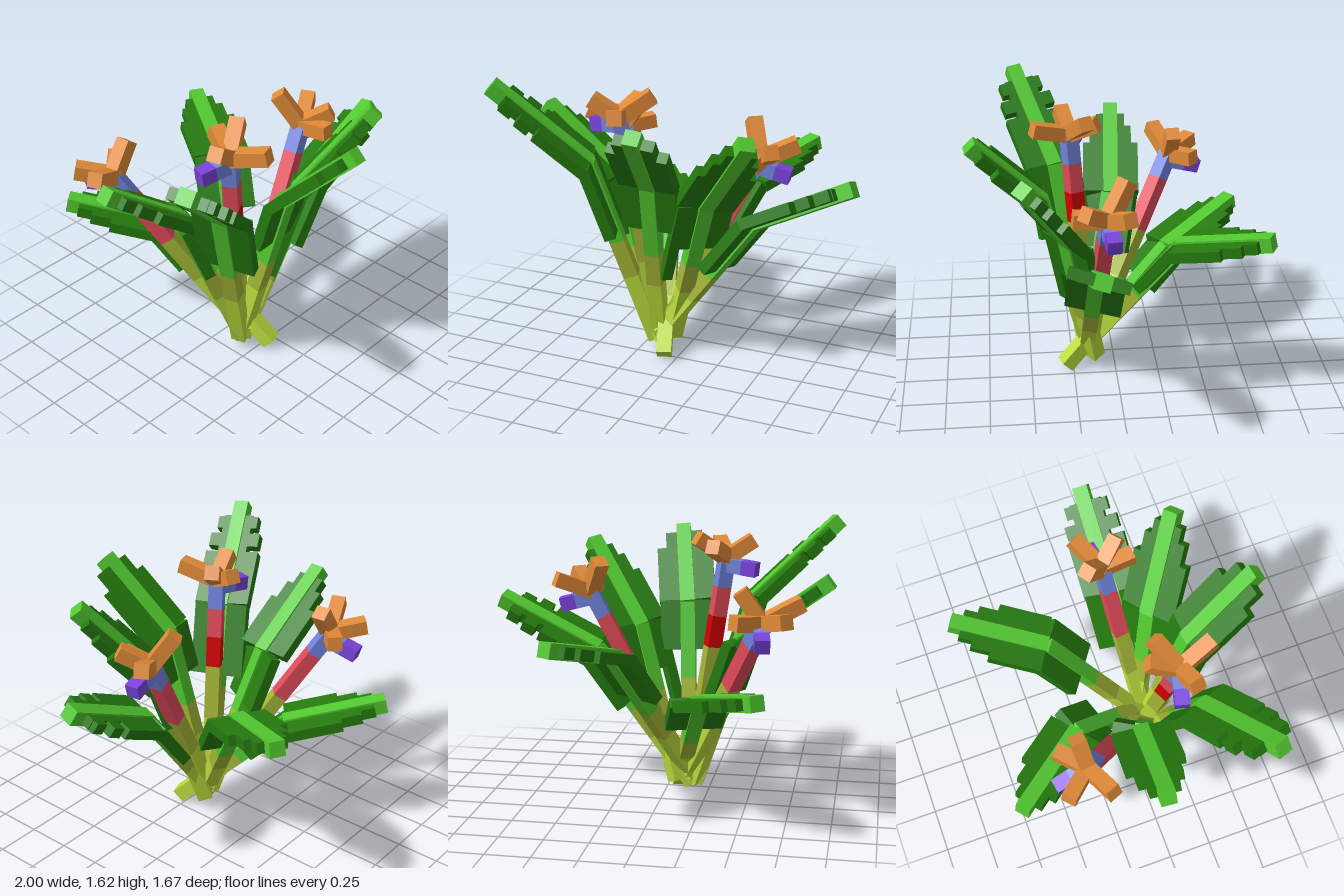
import * as THREE from 'three';

const mat = (name, color) => {
  const m = new THREE.MeshStandardMaterial({ color });
  m.name = name;
  return m;
};

export function createModel() {
  const M = {
    lime: mat('lime stem', 0xb8da3c),
    olive: mat('olive stem', 0xa3b436),
    rib: mat('bright leaf green', 0x52c830),
    blade: mat('dark leaf green', 0x257a0e),
    crimson: mat('crimson stem', 0xe04a58),
    red: mat('deep red', 0xd00000),
    blue: mat('flower blue', 0x7082dc),
    purple: mat('flower purple', 0x7a42da),
    orange: mat('petal orange', 0xe08a38),
  };
  const plant = new THREE.Group();
  plant.name = 'plant';
  const V = (p) => new THREE.Vector3(...p);

  // A limb is a group at point a whose local z axis runs towards point b
  function limb(parent, name, a, b, roll = 0) {
    const g = new THREE.Group();
    const d = V(b).sub(V(a));
    const length = d.length();
    d.normalize();
    const side = new THREE.Vector3(0, 1, 0).cross(d).normalize();
    const normal = d.clone().cross(side);
    g.quaternion.setFromRotationMatrix(new THREE.Matrix4().makeBasis(side, normal, d));
    g.rotateZ(roll);
    g.position.copy(V(a));
    g.name = name;
    parent.add(g);
    return { g, length };
  }

  // Box spanning x0..x1 and z0..z1 in a limb
  function slab(g, name, material, x0, x1, h, z0, z1) {
    const mesh = new THREE.Mesh(new THREE.BoxGeometry(x1 - x0, h, z1 - z0), material);
    mesh.position.set((x0 + x1) / 2, 0, (z0 + z1) / 2);
    mesh.name = name;
    g.add(mesh);
  }

  // Limb in coloured sections; cuts are [material, end fraction]
  function sections({ g, length }, name, w, cuts) {
    let from = 0;
    for (const [m, to] of cuts) {
      slab(g, name, m, -w / 2, w / 2, w, from * length, to * length);
      from = to;
    }
  }

  // Mirrored blade plates either side of the midrib
  function plates(g, half, z0, z1) {
    for (const s of [-1, 1]) {
      const a = s * 0.035, b = s * half;
      slab(g, 'bladePlate', M.blade, Math.min(a, b), Math.max(a, b), 0.062, z0, z1);
    }
  }

  // Blade outlines above the bend: [half width, start, end] as length fractions
  const stepped = [[0.165, 0, 0.54], [0.125, 0.54, 0.74], [0.085, 0.74, 0.88]];
  const broad = [[0.165, 0, 0.7], [0.11, 0.7, 0.9]];
  const notched = [[0.165, 0, 0.5], [0.09, 0.5, 0.86], [0.155, 0.56, 0.68], [0.125, 0.74, 0.85]];

  // Leaves: base, bend, tip, blade length below the bend, roll, outline, length of the trailing edge strip
  const leaves = [
    [[-0.06, 0.05, 0.3], [-0.27, 0.70, -0.33], [-0.63, 0.83, -0.76], 0.25, 0, stepped, 0],
    [[-0.16, 0.12, 0.17], [0.2, 0.94, -0.34], [0.46, 1.07, -0.8], 0.32, 0, stepped, 0],
    [[-0.17, 0.09, 0.16], [-0.47, 0.98, -0.01], [-0.95, 1.34, -0.05], 0.34, 0, stepped, 0],
    [[-0.17, 0.08, 0.16], [-0.5, 1.16, 0.33], [-0.96, 1.6, 0.54], 0.42, -0.15, notched, 0],
    [[-0.15, 0.1, 0.15], [-0.09, 1.11, 0.41], [0, 1.5, 0.8], 0.28, -0.15, broad, 0],
    [[-0.08, 0.1, 0.12], [0.18, 0.99, 0.28], [0.51, 1.45, 0.53], 0.28, -0.3, stepped, 0.5],
    [[-0.17, 0.08, 0.16], [0.41, 0.87, 0.14], [0.97, 1.15, 0.15], 0.36, -0.3, notched, 0],
  ];
  for (const [base, bend, tip, low, roll, outline, strip] of leaves) {
    const leaf = new THREE.Group();
    leaf.name = 'leaf';
    plant.add(leaf);

    const lower = limb(leaf, 'lowerLeaf', base, bend, roll);
    const L = lower.length;
    sections(lower, 'stemSection', 0.085, [[M.lime, 0.37], [M.olive, 0.57], [M.rib, 1]]);
    plates(lower.g, 0.16, L - low, L + 0.01);
    if (strip) slab(lower.g, 'edgeStrip', M.blade, -0.16, -0.1, 0.062, L - strip, L - low);

    const upper = limb(leaf, 'upperLeaf', bend, tip, roll);
    const U = upper.length;
    slab(upper.g, 'midrib', M.rib, -0.043, 0.043, 0.085, -0.015, U);
    for (const [half, from, to] of outline) plates(upper.g, half, from * U - 0.005, to * U);
  }

  // Flowers: base, centre, beak tip, petal tips, extra deep red band
  const flowers = [
    {
      base: [-0.14, 0.15, 0.15], top: [-0.61, 1.16, -0.37], beak: [-0.63, 1.07, -0.55], band: false,
      petals: [[-0.75, 1.2, -0.52], [-0.49, 1.33, -0.38], [-0.81, 1.26, -0.29], [-0.47, 1.18, -0.5]],
    },
    {
      base: [-0.16, 0.12, 0.15], top: [-0.34, 1.41, 0.24], beak: [-0.52, 1.35, 0.19], band: true,
      petals: [[-0.49, 1.51, 0.28], [-0.18, 1.53, 0.15], [-0.27, 1.47, 0.45], [-0.28, 1.49, 0.08]],
    },
    {
      base: [-0.14, 0.12, 0.15], top: [0.42, 1.22, 0.08], beak: [0.59, 1.14, 0.06], band: false,
      petals: [[0.34, 1.41, -0.03], [0.6, 1.3, -0.02], [0.43, 1.24, 0.27], [0.53, 1.31, 0.21]],
    },
  ];
  for (const f of flowers) {
    const flower = new THREE.Group();
    flower.name = 'flower';
    plant.add(flower);
    const stalk = limb(flower, 'flowerStem', f.base, f.top);
    sections(stalk, 'stalkSection', 0.083, [
      [M.lime, 0.35], [M.olive, 0.6], [f.band ? M.red : M.crimson, 0.74],
      [M.crimson, 0.87], [M.blue, 1],
    ]);
    // Beak starts slightly below the petals: blue throat, purple point
    const root = V(f.top).lerp(V(f.base), 0.03).toArray();
    const beak = limb(flower, 'beak', root, f.beak);
    sections(beak, 'beakSection', 0.08, [[M.blue, 0.55], [M.purple, 1]]);
    for (const p of f.petals) {
      const petal = limb(flower, 'petal', f.top, p);
      slab(petal.g, 'petalBox', M.orange, -0.041, 0.041, 0.082, -0.02, petal.length);
    }
  }
  return plant;
}
